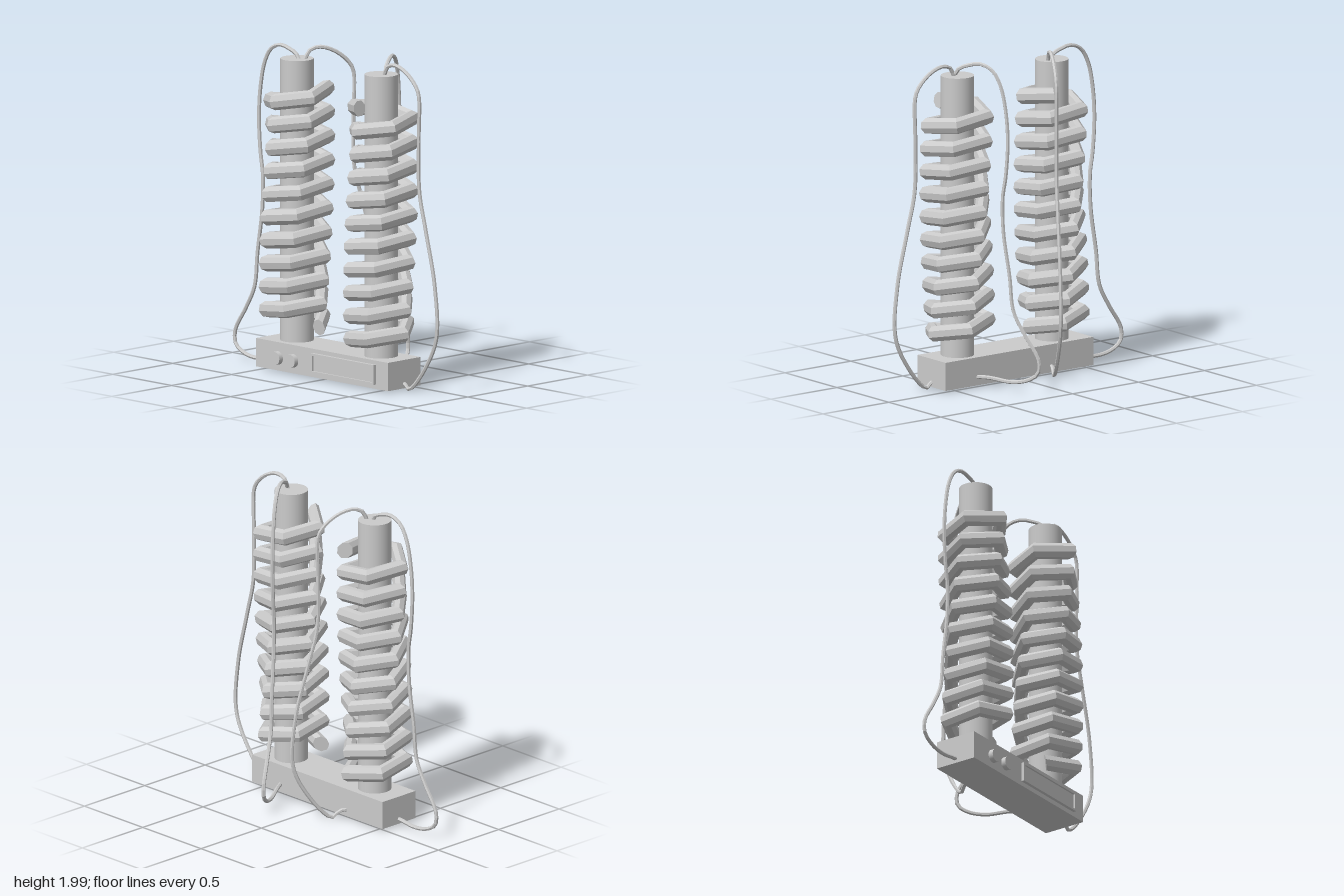
import * as THREE from 'three';

const grey = new THREE.MeshStandardMaterial({ color: 0xcccccc });
const faceted = new THREE.MeshStandardMaterial({ color: 0xcccccc, flatShading: true, side: THREE.DoubleSide });

const Z = 0.12; // depth of both columns
const COLUMN_X = { right: -0.33, left: 0.385 };

function add(parent, name, geometry, material = grey, x = 0, y = 0, z = 0) {
  const mesh = new THREE.Mesh(geometry, material);
  mesh.name = name;
  mesh.position.set(x, y, z);
  parent.add(mesh);
  return mesh;
}

// Rising spiral; angle is measured from +z towards +x
class Spiral extends THREE.Curve {
  constructor(radius, y0, y1, a0, a1) {
    super();
    Object.assign(this, { radius, y0, y1, a0, a1 });
  }
  getPoint(t, target = new THREE.Vector3()) {
    const a = THREE.MathUtils.lerp(this.a0, this.a1, t);
    return target.set(
      this.radius * Math.sin(a),
      THREE.MathUtils.lerp(this.y0, this.y1, t),
      this.radius * Math.cos(a)
    );
  }
}

// Coarse coil of just over ten turns, about five segments per turn, closed ends
function addCoil(parent, name, x, endDegrees) {
  const group = new THREE.Group();
  group.name = name;
  group.position.set(x, 0, Z);
  parent.add(group);
  const a1 = THREE.MathUtils.degToRad(endDegrees);
  const path = new Spiral(0.18, 0.29, 1.715, a1 - THREE.MathUtils.degToRad(3654), a1);
  const tube = new THREE.TubeGeometry(path, 50, 0.05, 8);
  add(group, name + 'Tube', tube, faceted);
  for (const i of [0, 50]) {
    const cap = add(group, name + 'End', new THREE.CircleGeometry(0.05, 8), faceted);
    cap.quaternion.setFromRotationMatrix(
      new THREE.Matrix4().makeBasis(tube.normals[i], tube.binormals[i], tube.tangents[i]));
    cap.position.copy(path.getPointAt(i / 50));
  }
}

// Cable profiles: [distance out from the column top, height]
const LOOSE = [
  [0, 1.89], [0.025, 1.925], [0.08, 1.948], [0.16, 1.963], [0.24, 1.93], [0.295, 1.84],
  [0.33, 1.685], [0.343, 1.5], [0.33, 1.29], [0.31, 1.155], [0.315, 0.945], [0.355, 0.68],
  [0.38, 0.47], [0.45, 0.335], [0.545, 0.18], [0.54, 0.1], [0.475, 0.055], [0.37, 0.035],
  [0.23, 0.05], [0.12, 0.05],
];
const WIDE = [
  [0, 1.89], [0.03, 1.95], [0.09, 1.968], [0.18, 1.94], [0.265, 1.87], [0.295, 1.81],
  [0.295, 1.55], [0.3, 1.235], [0.355, 1.0], [0.43, 0.68], [0.445, 0.36], [0.34, 0.15],
  [0.225, 0.025], [0.2, 0.022], [0.17, 0.055], [0.12, 0.06],
];

function addCable(parent, name, profile, x, z, dx, dz, lift = 0) {
  const points = profile.map(([u, y]) => new THREE.Vector3(x + u * dx, y + lift, z + u * dz));
  const path = new THREE.CatmullRomCurve3(points, false, 'centripetal');
  add(parent, name, new THREE.TubeGeometry(path, 70, 0.012, 6), faceted);
}

// Raised display frame with an open middle
function frameGeometry(w, h, border, depth) {
  const rect = (PathType, a, b) => new PathType([
    new THREE.Vector2(-a, -b), new THREE.Vector2(a, -b),
    new THREE.Vector2(a, b), new THREE.Vector2(-a, b),
  ]);
  const shape = rect(THREE.Shape, w / 2, h / 2);
  shape.holes.push(rect(THREE.Path, w / 2 - border, h / 2 - border));
  return new THREE.ExtrudeGeometry(shape, { depth, bevelEnabled: false });
}

export function createModel() {
  const model = new THREE.Group();
  model.name = 'twinCoilDevice';

  // Base with its controls
  add(model, 'base', new THREE.BoxGeometry(1.12, 0.172, 0.273), grey, 0.022, 0.107, 0.1205);
  add(model, 'displayFrame', frameGeometry(0.535, 0.12, 0.013, 0.022), grey, 0.213, 0.108, 0.256);
  add(model, 'display', new THREE.BoxGeometry(0.51, 0.095, 0.012), grey, 0.213, 0.108, 0.26);
  for (const x of [-0.35, -0.22]) {
    add(model, 'knob', new THREE.CylinderGeometry(0.04, 0.04, 0.04, 24), grey, x, 0.098, 0.267)
      .rotation.x = Math.PI / 2;
  }

  // Columns, each wrapped by a coil
  for (const side of ['right', 'left']) {
    add(model, side + 'Column', new THREE.CylinderGeometry(0.1, 0.1, 1.72, 32), grey,
      COLUMN_X[side], 1.04, Z);
    addCoil(model, side + 'Coil', COLUMN_X[side], side === 'right' ? 146 : 0);
  }

  // Cables from the column tops down to the base
  addCable(model, 'rightSideCable', LOOSE, -0.31, Z, -1, 0);
  addCable(model, 'leftSideCable', WIDE, 0.41, Z, 1, 0);
  addCable(model, 'rightBackCable', WIDE, -0.285, 0.1, 0.49, -0.9);
  addCable(model, 'leftBackCable', LOOSE, 0.41, 0.11, -0.5, -0.84, 0.023);

  return model;
}
